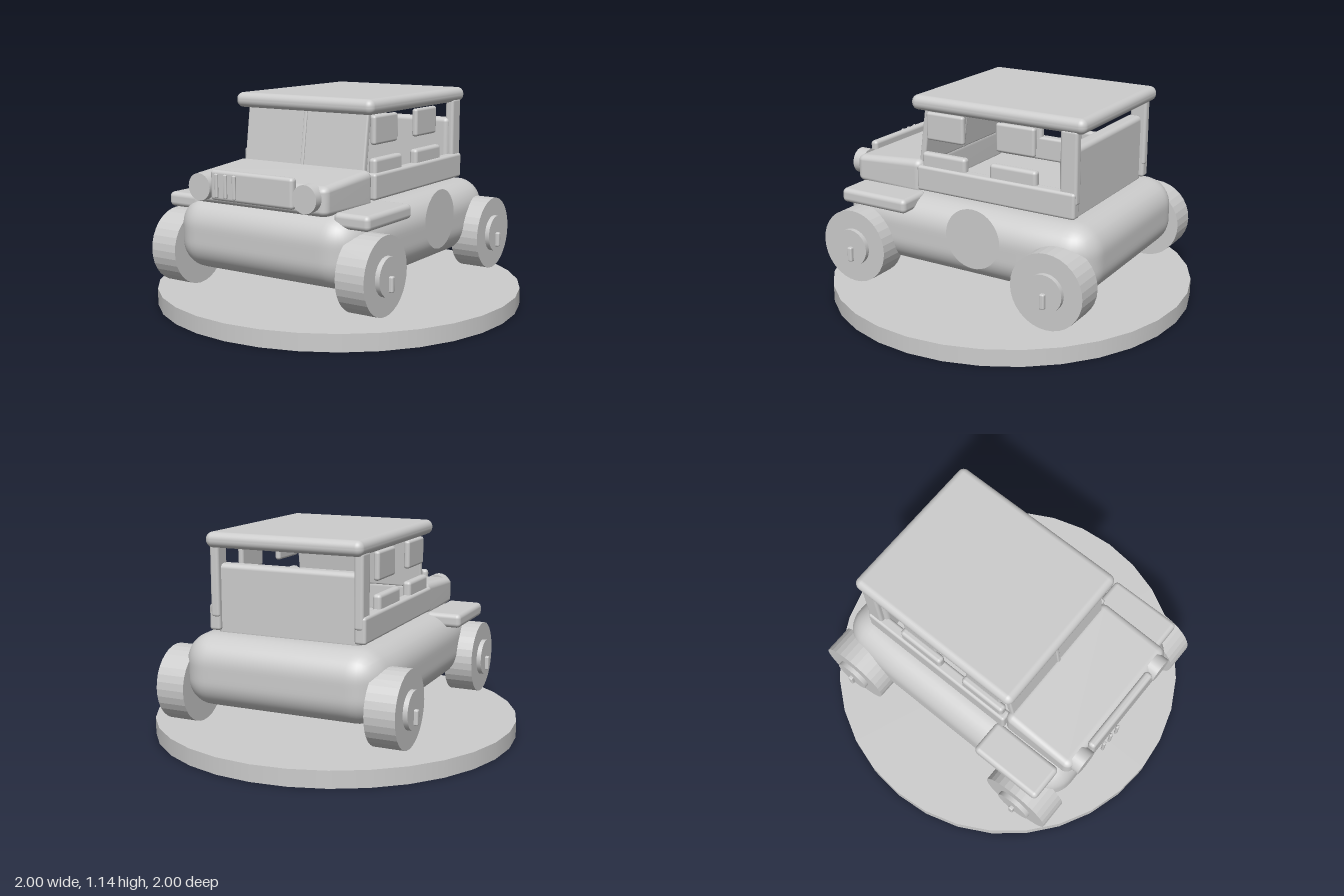
import * as THREE from 'three';
import { RoundedBoxGeometry } from 'three/addons/geometries/RoundedBoxGeometry.js';
import { mergeVertices, toCreasedNormals } from 'three/addons/utils/BufferGeometryUtils.js';

const clay = new THREE.MeshStandardMaterial({ color: 0xcccccc });
clay.name = 'clay grey';
const clayThin = new THREE.MeshStandardMaterial({ color: 0xcccccc, side: THREE.DoubleSide });
clayThin.name = 'clay grey thin';

// Move every vertex by a rule, then rebuild smooth normals
function reshape(geo, rule) {
  geo.deleteAttribute('uv');
  geo.deleteAttribute('normal');
  const p = geo.attributes.position, v = new THREE.Vector3();
  for (let i = 0; i < p.count; i++) {
    rule(v.fromBufferAttribute(p, i));
    p.setXYZ(i, v.x, v.y, v.z);
  }
  geo = mergeVertices(geo, 1e-5);
  geo.computeVertexNormals();
  return geo;
}

export function createModel() {
  const model = new THREE.Group();
  model.name = 'jeepOnStand';

  const add = (name, geo, x, y, z, parent = model, mat = clay) => {
    const m = new THREE.Mesh(geo, mat);
    m.name = name;
    m.position.set(x, y, z);
    parent.add(m);
    return m;
  };
  // Rounded box given by its minimum and maximum on each axis
  const block = (name, [x0, x1], [y0, y1], [z0, z1], r, parent) =>
    add(name, new RoundedBoxGeometry(x1 - x0, y1 - y0, z1 - z0, 4, r),
      (x0 + x1) / 2, (y0 + y1) / 2, (z0 + z1) / 2, parent);
  const side = (s, a, b) => (s > 0 ? [a, b] : [-b, -a]);

  // Round display stand
  add('stand', new THREE.CylinderGeometry(1, 1, 0.09, 32), 0, 0.045, 0);

  // Lower body: soft box narrowing slightly toward both ends
  const half = new THREE.Vector3(0.57, 0.19, 0.76), r = 0.15;
  const inner = half.clone().subScalar(r), core = new THREE.Vector3();
  const hull = reshape(new THREE.BoxGeometry(1.14, 0.38, 1.52, 36, 20, 44), v => {
    core.copy(v).clamp(inner.clone().negate(), inner);
    v.sub(core).normalize().multiplyScalar(r).add(core);
    const t = Math.max(0, (Math.abs(v.z) - 0.35) / 0.41);
    v.x *= 1 - 0.06 * t * t;
  });
  add('lowerBody', hull, 0, 0.43, 0);

  // Hood, sloping down to the front
  const hood = reshape(new RoundedBoxGeometry(0.84, 0.2, 0.43, 5, 0.04), v => {
    const t = (v.z + 0.215) / 0.43;
    v.y = (v.y + 0.1) * (1 - 0.27 * t) + 0.02 * t;
  });
  add('hood', hood, 0, 0.588, 0.53);

  // Grille and its slots
  block('grille', [-0.26, 0.25], [0.635, 0.79], [0.735, 0.78], 0.018);
  for (const x of [-0.2, -0.143, -0.087])
    block('grilleSlot', [x - 0.01, x + 0.01], [0.655, 0.777], [0.795, 0.81], 0.006);

  // Windshield panes and centre bar, leaning back
  const windshield = new THREE.Group();
  windshield.name = 'windshield';
  windshield.position.set(0, 0.915, 0.31);
  windshield.rotation.x = -0.14;
  model.add(windshield);
  block('windshieldPane', [-0.38, 0.38], [-0.155, 0.155], [-0.018, 0.016], 0.01, windshield);
  block('centreBar', [-0.01, 0.01], [-0.155, 0.155], [-0.02, 0.024], 0.006, windshield);

  // Roof and rear panel
  block('roof', [-0.433, 0.433], [1.062, 1.142], [-0.66, 0.362], 0.037);
  block('rearPanel', [-0.4, 0.4], [0.6, 0.975], [-0.59, -0.505], 0.025);

  // Wheel with hub and a small tab, axis along x
  const tyre = toCreasedNormals(new THREE.CylinderGeometry(0.2, 0.2, 0.16, 32), 0.1);
  const hub = new THREE.CylinderGeometry(0.1, 0.1, 0.06, 32);
  const lamp = new THREE.CylinderGeometry(0.07, 0.07, 0.065, 32).rotateX(Math.PI / 2);
  tyre.rotateZ(Math.PI / 2);
  hub.rotateZ(Math.PI / 2);

  // Parts mirrored on both sides
  for (const s of [-1, 1]) {
    const label = s > 0 ? 'left' : 'right';
    for (const z of [0.59, -0.585]) {
      const wheel = new THREE.Group();
      wheel.name = label + (z > 0 ? 'FrontWheel' : 'RearWheel');
      wheel.position.set(0, 0.33, z);
      model.add(wheel);
      add('tyre', tyre, s * 0.58, 0, 0, wheel);
      add('hub', hub, s * 0.655, 0, 0, wheel);
      block('hubTab', side(s, 0.675, 0.705), [-0.075, 0.005], [-0.014, 0.014], 0.008, wheel);
    }
    add(label + 'Headlight', lamp, s * 0.325, 0.697, 0.755);
    block(label + 'Fender', side(s, 0.42, 0.623), [0.553, 0.63], [0.275, 0.69], 0.025);
    block(label + 'SidePanel', side(s, 0.375, 0.437), [0.63, 0.767], [-0.615, 0.325], 0.015);
    block(label + 'RearPillar', side(s, 0.375, 0.425), [0.7, 1.08], [-0.62, -0.525], 0.015);
    for (const [a, b] of [[0.028, 0.3], [-0.39, -0.117]])
      block(label + 'DoorTop', side(s, 0.375, 0.422), [0.74, 0.84], [a, b], 0.018);
    for (const [a, b] of [[0.05, 0.28], [-0.37, -0.145]])
      block(label + 'SideWindow', side(s, 0.372, 0.405), [0.905, 1.055], [a, b], 0.014);
  }

  // Flat round badge on the left flank
  add('flankDisc', new THREE.CircleGeometry(0.16, 40).rotateY(Math.PI / 2),
    0.573, 0.48, -0.11, model, clayThin);

  return model;
}
